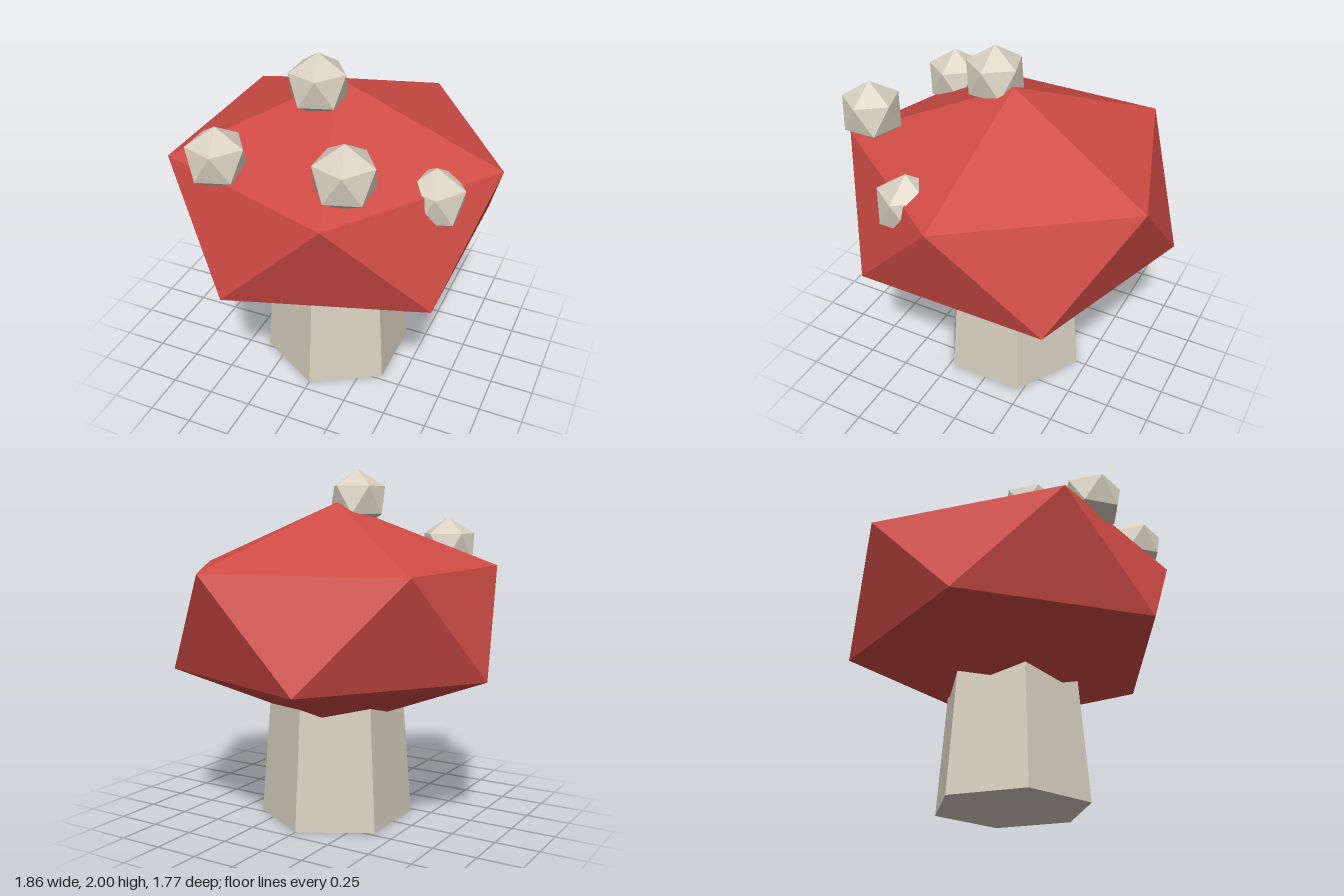
import * as THREE from 'three';

const red = new THREE.MeshStandardMaterial({ name: 'capRed', color: 0xd04b45, flatShading: true });
const cream = new THREE.MeshStandardMaterial({ name: 'cream', color: 0xd9d0c1, flatShading: true });

// Icosahedron standing on a corner, with an upper-ring corner facing +x
function uprightIcosahedron(radius) {
  const g = new THREE.IcosahedronGeometry(radius, 0);
  g.rotateZ(-Math.atan(2 / (1 + Math.sqrt(5))));
  return g;
}

export function createModel() {
  const group = new THREE.Group();
  group.name = 'mushroom';

  const add = (name, geometry, material, x, y, z) => {
    const mesh = new THREE.Mesh(geometry, material);
    mesh.name = name;
    mesh.position.set(x, y, z);
    group.add(mesh);
    return mesh;
  };

  // Six-sided tapered stem, running up into the cap
  add('stem', new THREE.CylinderGeometry(0.372, 0.44, 0.87, 6), cream, 0, 0.435, 0);

  // Squashed faceted cap
  const cap = add('cap', uprightIcosahedron(1.042), red, 0, 1.16, 0);
  cap.scale.y = 0.65 / 1.042;

  // Faceted spots, partly sunk into the cap
  const spotGeometry = uprightIcosahedron(0.177);
  const spots = [
    [-0.055, 1.823, 0.14],
    [0.33, 1.658, 0.69],
    [-0.415, 1.548, 0.605],
    [0.653, 1.381, 0.275],
  ];
  spots.forEach(([x, y, z], i) => add(`spot${i + 1}`, spotGeometry, cream, x, y, z));

  return group;
}
